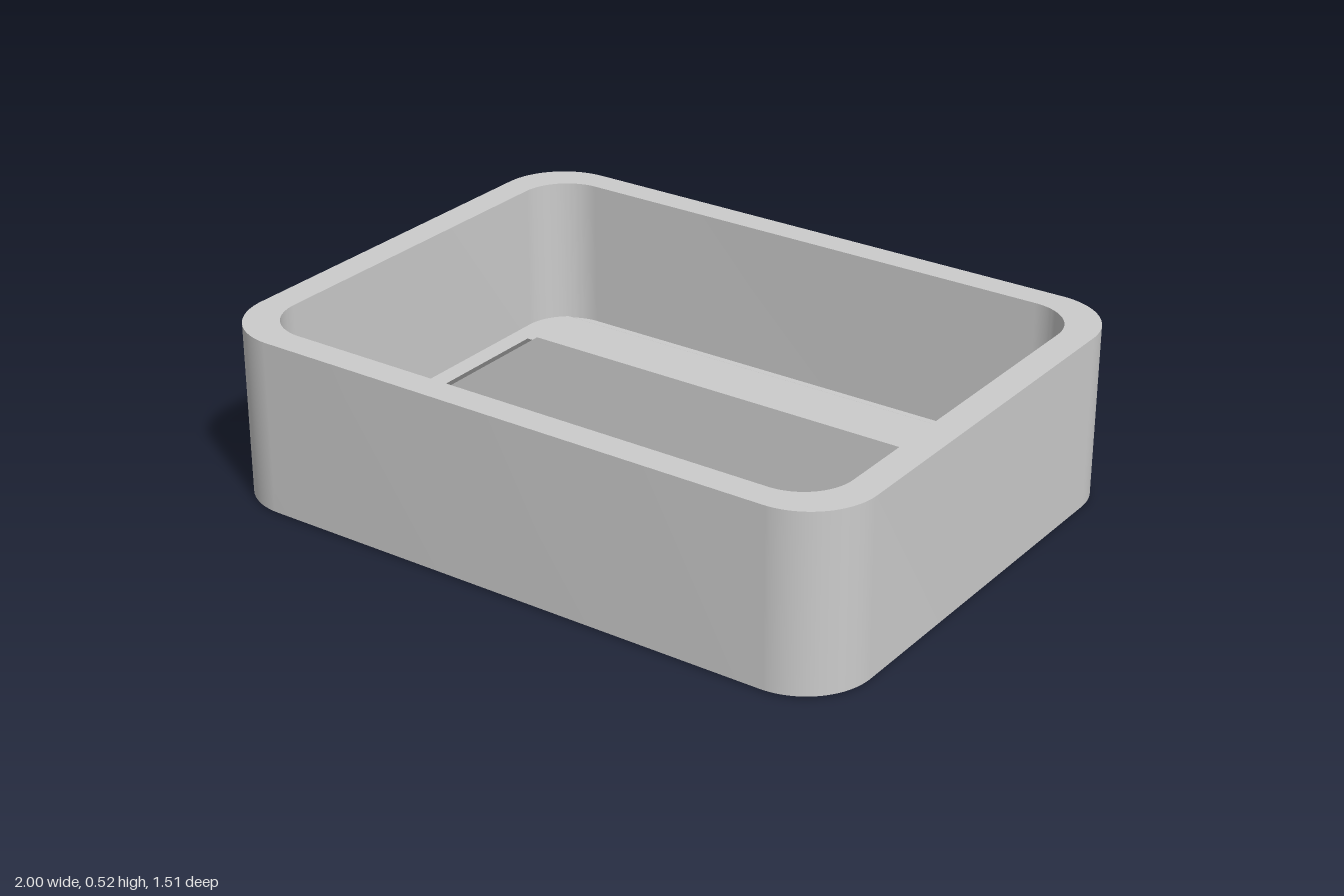
import * as THREE from 'three';
import { toCreasedNormals } from 'three/addons/utils/BufferGeometryUtils.js';
import { RoundedBoxGeometry } from 'three/addons/geometries/RoundedBoxGeometry.js';

// Trace a rounded rectangle of half-width a, half-depth b and corner radius r
function roundedRect(path, a, b, r) {
  path.moveTo(a, b - r);
  path.absarc(a - r, b - r, r, 0, Math.PI / 2);
  path.absarc(-a + r, b - r, r, Math.PI / 2, Math.PI);
  path.absarc(-a + r, -b + r, r, Math.PI, Math.PI * 1.5);
  path.absarc(a - r, -b + r, r, Math.PI * 1.5, Math.PI * 2);
  path.closePath();
  return path;
}

export function createModel() {
  const model = new THREE.Group();
  model.name = 'tray';

  const add = (name, geometry, color, x = 0, y = 0, z = 0) => {
    const mesh = new THREE.Mesh(geometry, new THREE.MeshStandardMaterial({ color }));
    mesh.name = name;
    mesh.position.set(x, y, z);
    model.add(mesh);
  };

  // Wall: rounded rectangular ring extruded upward
  const ring = roundedRect(new THREE.Shape(), 1, 0.757, 0.2);
  ring.holes.push(roundedRect(new THREE.Path(), 0.91, 0.672, 0.15));
  const wall = new THREE.ExtrudeGeometry(ring, { depth: 0.515, bevelEnabled: false, curveSegments: 16 });
  wall.rotateX(-Math.PI / 2);
  add('wall', toCreasedNormals(wall, 0.6), 0xcccccc, 0, 0.005);

  // Floor: plate let into the wall, with its long margins filled up to the wall
  add('floor', new RoundedBoxGeometry(1.96, 0.075, 1.3, 3, 0.008), 0xeeeeee, 0, 0.0375);
  for (const side of [-1, 1]) {
    add('floorMargin', new THREE.BoxGeometry(1.7, 0.066, 0.06), 0xeeeeee, 0, 0.038, side * 0.665);
  }

  // Raised pad with a narrow darker strip along each end
  add('pad', new THREE.BoxGeometry(1.57, 0.06, 0.8), 0xa0a0a0, 0, 0.08);
  for (const side of [-1, 1]) {
    add('padEnd', new THREE.BoxGeometry(0.03, 0.05, 0.77), 0x707070, side * 0.795, 0.08);
  }

  return model;
}
